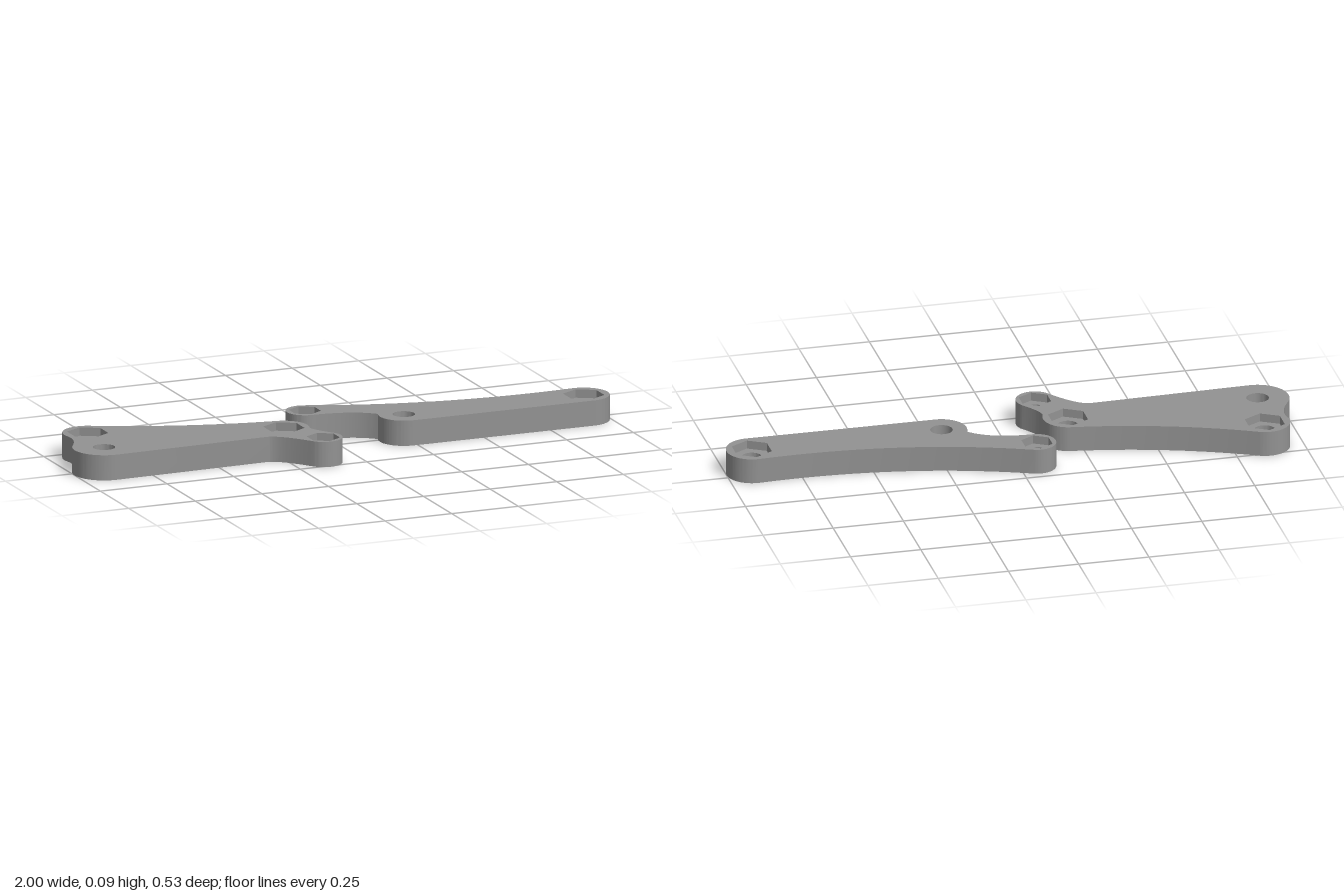
import * as THREE from 'three';
import { toCreasedNormals } from 'three/addons/utils/BufferGeometryUtils.js';

const H = 0.09;      // plate thickness
const POCKET = 0.03; // depth of the hexagonal nut pockets
const rad = THREE.MathUtils.degToRad;

export function createModel() {
  const grey = new THREE.MeshStandardMaterial({ color: 0x929292 });
  grey.name = 'plain grey';

  // closed loop around a centre; n = 6 gives a hexagon with points along z
  const ring = (x, y, r, n) => Array.from({ length: n }, (_, i) => {
    const a = (i / n) * Math.PI * 2 + Math.PI / 2;
    return new THREE.Vector2(x + r * Math.cos(a), y + r * Math.sin(a));
  });

  const addMesh = (group, geometry, name) => {
    geometry.rotateX(-Math.PI / 2);
    const mesh = new THREE.Mesh(geometry, grey);
    mesh.name = name;
    group.add(mesh);
  };

  // flat face with holes at a height, facing up or down
  const face = (group, name, loop, holes, height, up) => {
    const shape = new THREE.Shape(loop);
    shape.holes = holes.map((h) => new THREE.Path(h));
    const g = new THREE.ShapeGeometry(shape);
    if (!up) {
      const ix = g.index.array;
      for (let i = 0; i < ix.length; i += 3) [ix[i], ix[i + 1]] = [ix[i + 1], ix[i]];
      g.computeVertexNormals();
    }
    g.translate(0, 0, height);
    addMesh(group, g, name);
  };

  // upright wall along a counter-clockwise loop, facing out or in
  const wall = (group, name, loop, low, high, inward) => {
    const pts = inward ? [...loop].reverse() : loop;
    const pos = [];
    pts.forEach((a, i) => {
      const b = pts[(i + 1) % pts.length];
      pos.push(a.x, a.y, low, b.x, b.y, low, b.x, b.y, high);
      pos.push(a.x, a.y, low, b.x, b.y, high, a.x, a.y, high);
    });
    const g = new THREE.BufferGeometry();
    g.setAttribute('position', new THREE.Float32BufferAttribute(pos, 3));
    addMesh(group, toCreasedNormals(g, rad(35)), name);
  };

  // plate with bolt holes; each hole: x, y, radius, top hex radius, bottom hex radius
  const plate = (name, shape, holes) => {
    const group = new THREE.Group();
    group.name = name;
    let loop = shape.getPoints(24);
    loop = loop.filter((p, i) => p.distanceTo(loop[(i + 1) % loop.length]) > 1e-4);
    const top = [], bottom = [];
    for (const [x, y, r, hexTop, hexBottom] of holes) {
      const bore = ring(x, y, r, 32);
      const upper = hexTop ? ring(x, y, hexTop, 6) : bore;
      const lower = hexBottom ? ring(x, y, hexBottom, 6) : bore;
      const y0 = hexBottom ? POCKET : 0;
      const y1 = hexTop ? H - POCKET : H;
      wall(group, 'boltHole', bore, y0, y1, true);
      if (hexTop) {
        wall(group, 'nutPocketWall', upper, y1, H, true);
        face(group, 'nutPocketFloor', upper, [bore], y1, true);
      }
      if (hexBottom) {
        wall(group, 'lowerNutPocketWall', lower, 0, y0, true);
        face(group, 'lowerNutPocketFloor', lower, [bore], y0, false);
      }
      top.push(upper);
      bottom.push(lower);
    }
    wall(group, 'rim', loop, 0, H, false);
    face(group, 'topFace', loop, top, H, true);
    face(group, 'bottomFace', loop, bottom, 0, false);
    return group;
  };

  // rounded boss of an outline, reached by a curve through a control point
  const boss = (s, x, y, r, from, to, control) => {
    const a = rad(from);
    if (control) s.quadraticCurveTo(...control, x + r * Math.cos(a), y + r * Math.sin(a));
    s.absarc(x, y, r, a, rad(to), false);
  };

  // wide triangular plate with a small foot
  const wide = new THREE.Shape();
  boss(wide, -0.865, 0.18, 0.088, 60, 195);
  boss(wide, -0.89, -0.023, 0.11, 150, 272, [-0.938, 0.105]);
  wide.lineTo(-0.318, -0.118);
  boss(wide, -0.14, -0.195, 0.067, 215, 395, [-0.272, -0.12]);
  boss(wide, -0.215, -0.023, 0.088, -22, 82, [-0.141, -0.085]);
  wide.quadraticCurveTo(-0.53, 0.11, -0.821, 0.256);

  // slender curved arm
  const slim = new THREE.Shape();
  boss(slim, -0.06, 0.157, 0.067, 65, 272);
  boss(slim, 0.235, -0.023, 0.089, 156, 270, [0.09, 0.086]);
  boss(slim, 0.91, -0.023, 0.09, -90, 91);
  slim.quadraticCurveTo(0.40, 0.035, -0.032, 0.218);

  const model = new THREE.Group();
  model.name = 'linkagePlates';
  model.add(
    plate('widePlate', wide, [
      [-0.865, 0.18, 0.037, 0.072, 0],
      [-0.89, -0.023, 0.039, 0, 0],
      [-0.215, -0.023, 0.035, 0.072, 0.072],
      [-0.14, -0.195, 0.024, 0.058, 0],
    ]),
    plate('slimArm', slim, [
      [-0.06, 0.157, 0.024, 0.056, 0],
      [0.235, -0.023, 0.039, 0, 0],
      [0.91, -0.023, 0.035, 0.072, 0.072],
    ]),
  );
  return model;
}
